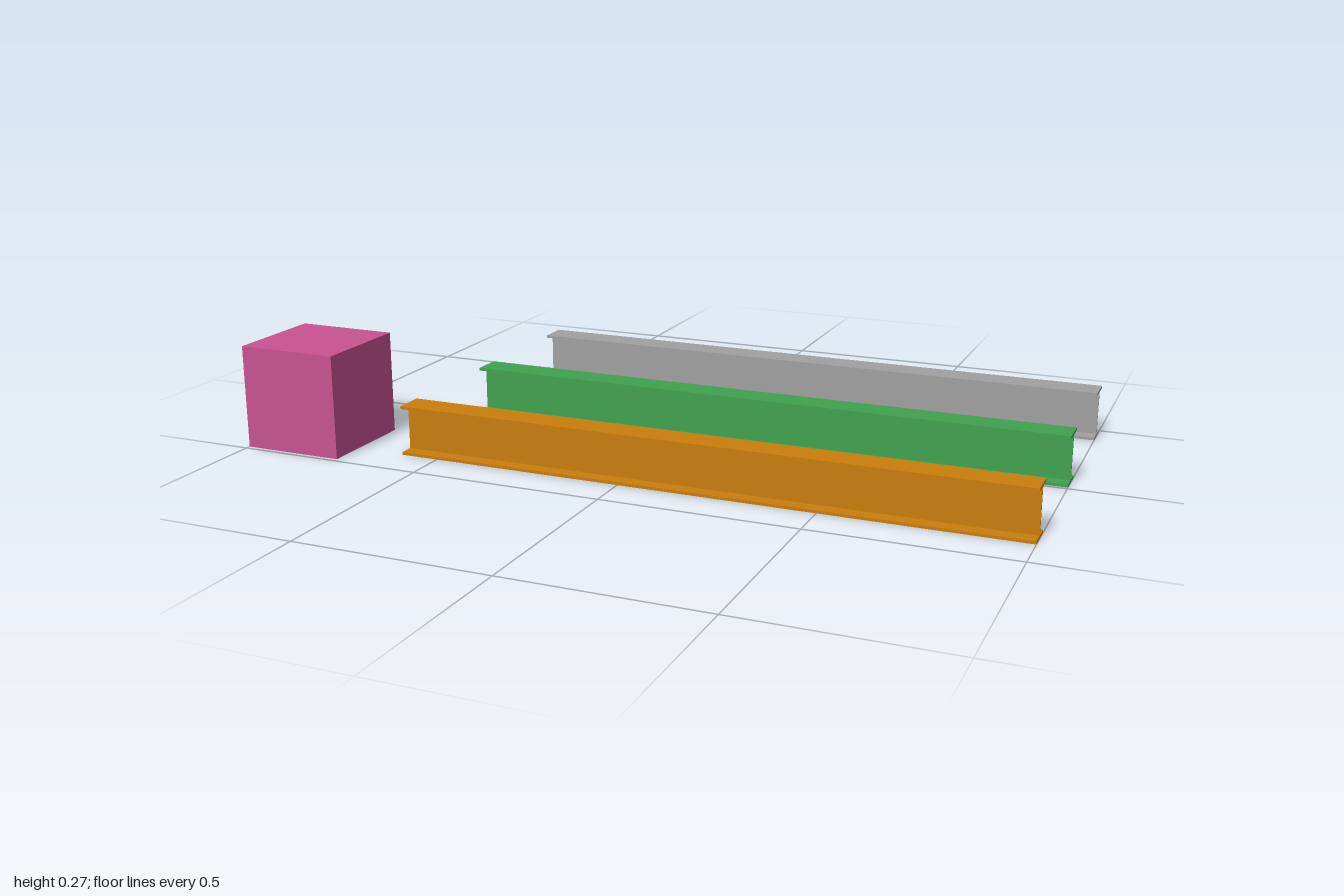
import * as THREE from 'three';

const LENGTH = 1.6, HEIGHT = 0.128, WIDTH = 0.077, FLANGE = 0.007, WEB = 0.004;

// Closed I-shaped cross-section, mirrored left to right
function beamProfile() {
  const w = WIDTH / 2, t = WEB / 2;
  const half = [[w, 0], [w, FLANGE], [t, FLANGE], [t, HEIGHT - FLANGE], [w, HEIGHT - FLANGE], [w, HEIGHT]];
  const mirrored = half.map(([x, y]) => [-x, y]).reverse();
  return new THREE.Shape([...half, ...mirrored].map(([x, y]) => new THREE.Vector2(x, y)));
}

function material(name, color) {
  const m = new THREE.MeshStandardMaterial({ color });
  m.name = name;
  return m;
}

export function createModel() {
  const model = new THREE.Group();
  model.name = 'beamsAndCube';

  // Three parallel I-beams running along x
  const beamGeometry = new THREE.ExtrudeGeometry(beamProfile(), { depth: LENGTH, bevelEnabled: false });
  beamGeometry.rotateY(Math.PI / 2);
  const beams = [
    ['frontBeam', 0.353, material('orange', 0xca7e0c)],
    ['middleBeam', -0.047, material('green', 0x41a24f)],
    ['backBeam', -0.447, material('grey', 0xa0a0a0)],
  ];
  for (const [name, z, mat] of beams) {
    const beam = new THREE.Mesh(beamGeometry, mat);
    beam.name = name;
    beam.position.set(-0.6, 0, z);
    model.add(beam);
  }

  // Cube at the end of the front beam
  const size = 0.267;
  const cube = new THREE.Mesh(new THREE.BoxGeometry(size, size, size), material('pink', 0xc85392));
  cube.name = 'cube';
  cube.position.set(-1 + size / 2, size / 2, 0.353);
  model.add(cube);

  return model;
}
